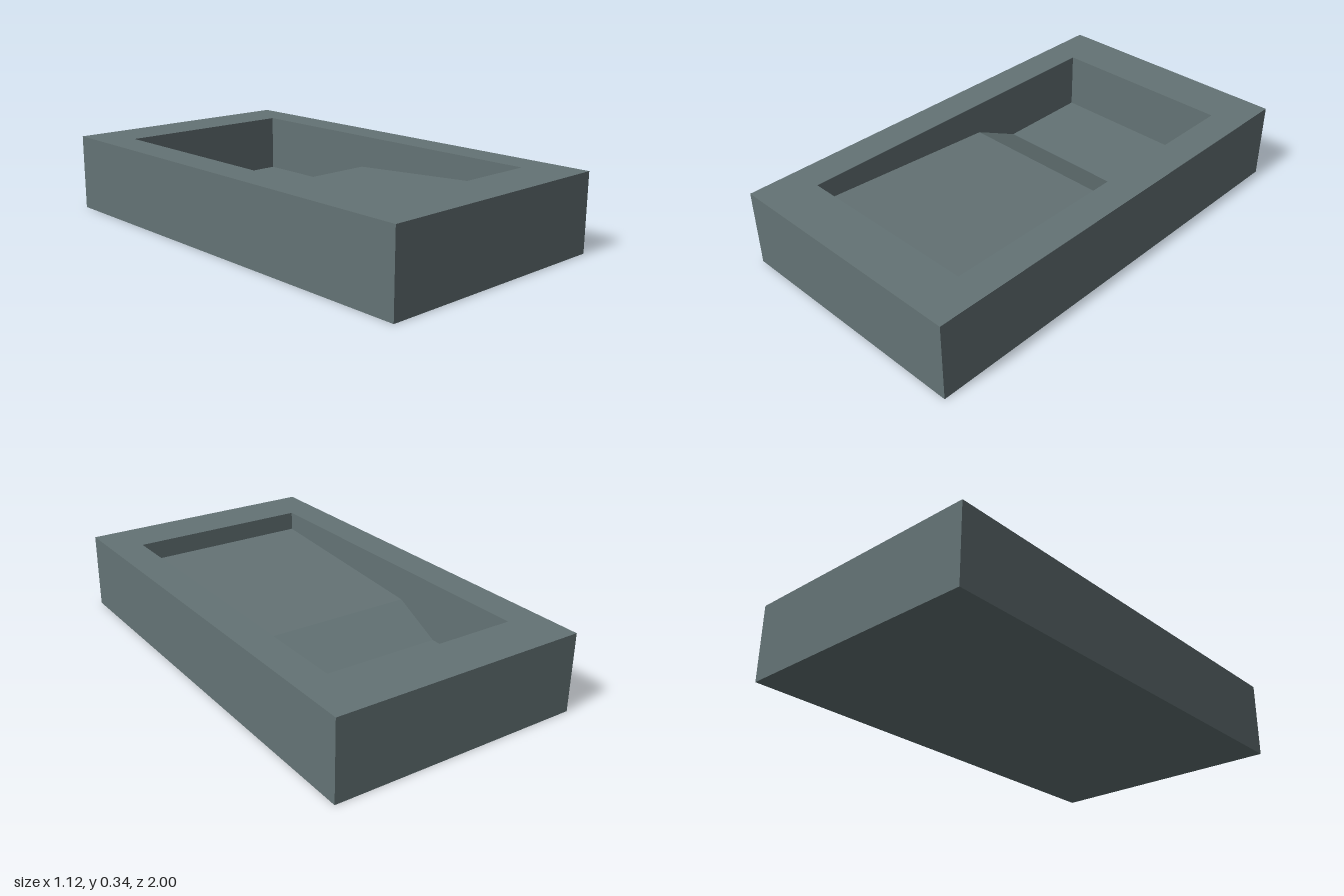
import * as THREE from 'three';

const WIDTH = 1.12, LENGTH = 2, HEIGHT = 0.343;
const POCKET_X = 0.415, POCKET_Z = 0.78;

function rectangle(PathType, hx, hy) {
  return new PathType([
    new THREE.Vector2(-hx, -hy), new THREE.Vector2(hx, -hy),
    new THREE.Vector2(hx, hy), new THREE.Vector2(-hx, hy),
  ]);
}

export function createModel() {
  const group = new THREE.Group();
  group.name = 'recessedBlock';
  const slate = new THREE.MeshStandardMaterial({ color: 0x647375 });
  slate.name = 'slateGrey';

  // Outer frame: a rectangular ring extruded upward
  const ring = rectangle(THREE.Shape, WIDTH / 2, LENGTH / 2);
  ring.holes.push(rectangle(THREE.Path, POCKET_X, POCKET_Z));
  const frameGeometry = new THREE.ExtrudeGeometry(ring, { depth: HEIGHT, bevelEnabled: false });
  frameGeometry.rotateX(-Math.PI / 2);
  const frame = new THREE.Mesh(frameGeometry, slate);
  frame.name = 'frame';
  group.add(frame);

  // Pocket floor: side profile (-z, y) with a gentle slope, a steep ramp and a deep end
  const profile = new THREE.Shape([
    [-POCKET_Z, 0], [POCKET_Z, 0], [POCKET_Z, 0.085],
    [0.35, 0.085], [0.125, 0.195], [-POCKET_Z, 0.257],
  ].map(([a, y]) => new THREE.Vector2(a, y)));
  const floorGeometry = new THREE.ExtrudeGeometry(profile, { depth: POCKET_X * 2, bevelEnabled: false });
  floorGeometry.translate(0, 0, -POCKET_X);
  floorGeometry.rotateY(Math.PI / 2);
  const floor = new THREE.Mesh(floorGeometry, slate);
  floor.name = 'pocketFloor';
  group.add(floor);

  return group;
}
